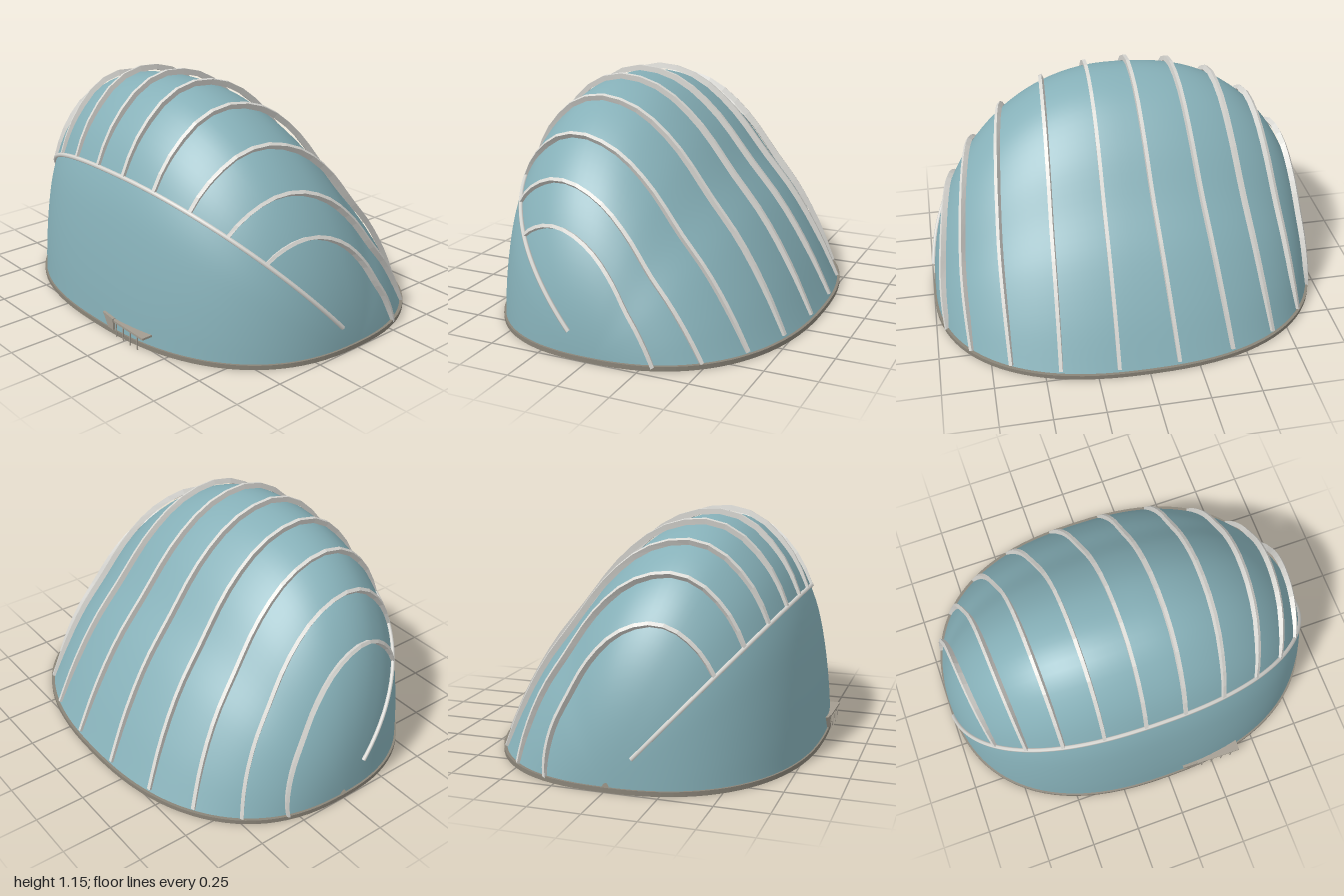
import * as THREE from 'three';

const mat = (name, color, side = THREE.FrontSide) => {
  const m = new THREE.MeshStandardMaterial({ color, side });
  m.name = name;
  return m;
};

// Middle section of the dome, from the front foot over the crest to the back foot
const profile = new THREE.CatmullRomCurve3([
  [0.785, 0.01], [0.772, 0.2], [0.745, 0.42], [0.705, 0.62], [0.66, 0.75], [0.59, 0.89],
  [0.5, 1.0], [0.39, 1.085], [0.26, 1.12], [0.12, 1.1], [0, 1.045], [-0.16, 0.91],
  [-0.34, 0.69], [-0.5, 0.5], [-0.65, 0.27], [-0.785, 0.01],
].map(([z, y]) => new THREE.Vector3(0, y, z)));
const HALF = 0.99;

const fall = (q, n) => Math.pow(Math.max(0, 1 - Math.pow(q, n)), 1 / n);

// Point on the dome: the section shrinks towards both ends, fuller on one side
function surf(x, t) {
  const q = Math.min(1, Math.abs(x) / HALF);
  const p = profile.getPointAt(THREE.MathUtils.clamp(t, 0, 1));
  return new THREE.Vector3(x, p.y * fall(q, x < 0 ? 2.5 : 2.0), p.z * fall(q, 2.4));
}

function normalAt(x, t) {
  const e = 0.004;
  const dx = surf(x + e, t).sub(surf(x - e, t));
  const dt = surf(x, Math.min(1, t + e)).sub(surf(x, Math.max(0, t - e)));
  return dx.cross(dt).normalize();
}

// Where the sloping front rim crosses the section at x
function rimT(x) {
  let lo = 0, hi = 0.45;
  for (let i = 0; i < 24; i++) {
    const mid = (lo + hi) / 2, p = surf(x, mid);
    if (p.y - 1.09 * p.z - 0.025 < 0) lo = mid; else hi = mid;
  }
  return lo;
}

function gridGeometry(positions, rows, cols) {
  const index = [];
  for (let i = 0; i < rows - 1; i++) {
    for (let j = 0; j < cols - 1; j++) {
      const a = i * cols + j, b = a + cols;
      index.push(a, b, a + 1, b, b + 1, a + 1);
    }
  }
  const g = new THREE.BufferGeometry();
  g.setAttribute('position', new THREE.Float32BufferAttribute(positions, 3));
  g.setIndex(index);
  g.computeVertexNormals();
  return g;
}

function domeGeometry() {
  const rows = 65, cols = 61, pos = [];
  for (let i = 0; i < rows; i++) {
    const x = -HALF * 0.9999 * Math.cos((Math.PI * i) / (rows - 1));
    for (let j = 0; j < cols; j++) pos.push(...surf(x, j / (cols - 1)).toArray());
  }
  return gridGeometry(pos, rows, cols);
}

// Rectangular bar swept over the dome from the front rim to the back foot
function ribGeometry(xFront, xBack, bulge) {
  const steps = 22, w = 0.009, pos = [], index = [];
  const t0 = rimT(xFront);
  for (let i = 0; i <= steps; i++) {
    const s = i / steps, arch = Math.sin(Math.PI * s);
    const x = THREE.MathUtils.lerp(xFront, xBack, s) + bulge * arch;
    const t = THREE.MathUtils.lerp(t0, 0.99, s);
    const p = surf(x, t), n = normalAt(x, t);
    const side = new THREE.Vector3(1, 0, 0).addScaledVector(n, -n.x).normalize();
    const low = -0.008 + 0.02 * arch, high = 0.014 + 0.027 * arch;
    for (const [a, h] of [[-w, low], [w, low], [w, high], [-w, high]]) {
      pos.push(...p.clone().addScaledVector(side, a).addScaledVector(n, h).toArray());
    }
  }
  for (let i = 0; i < steps; i++) {
    for (let k = 0; k < 4; k++) {
      const a = i * 4 + k, b = i * 4 + ((k + 1) % 4);
      index.push(a, b, a + 4, b, b + 4, a + 4);
    }
  }
  const e = steps * 4;
  index.push(0, 2, 1, 0, 3, 2, e, e + 1, e + 2, e, e + 2, e + 3);
  const g = new THREE.BufferGeometry();
  g.setAttribute('position', new THREE.Float32BufferAttribute(pos, 3));
  g.setIndex(index);
  const flat = g.toNonIndexed();
  flat.computeVertexNormals();
  return flat;
}

export function createModel() {
  const model = new THREE.Group();
  const glass = mat('blue glass', 0x86b0b8);
  const white = mat('white steel', 0xd9d8d3, THREE.DoubleSide);
  const stone = mat('grey stone', 0x8a8478);
  const canopyMat = mat('canopy grey', 0xa39c90, THREE.DoubleSide);

  const add = (name, geometry, material, parent = model) => {
    const m = new THREE.Mesh(geometry, material);
    m.name = name;
    parent.add(m);
    return m;
  };

  add('dome', domeGeometry(), glass);

  // Oval base plate with a thin visible edge
  const outline = [];
  for (let i = 0; i < 96; i++) {
    const a = (i / 96) * Math.PI * 2, c = Math.cos(a), s = Math.sin(a), k = 2 / 2.4;
    outline.push(new THREE.Vector2(Math.sign(c) * Math.abs(c) ** k, 0.793 * Math.sign(s) * Math.abs(s) ** k));
  }
  const base = new THREE.ExtrudeGeometry(new THREE.Shape(outline), { depth: 0.022, bevelEnabled: false });
  base.rotateX(-Math.PI / 2);
  add('basePlate', base, stone);

  // Sloping rim across the front
  const rimPoints = [];
  for (let i = 0; i <= 40; i++) {
    const x = -0.982 * Math.cos((Math.PI * i) / 40), t = rimT(x);
    rimPoints.push(surf(x, t).addScaledVector(normalAt(x, t), 0.006));
  }
  add('frontRim', new THREE.TubeGeometry(new THREE.CatmullRomCurve3(rimPoints), 80, 0.011, 6), white);

  // Ribs fanning out towards the back
  const front = [0.81, 0.67, 0.5, 0.305, 0.1], back = [0.945, 0.835, 0.655, 0.425, 0.148];
  const bulgeLeft = [0.03, 0.05, 0.045, 0.015, 0.015], bulgeRight = [0.01, 0.04, 0.05, 0.05, 0.04];
  const ribs = new THREE.Group();
  ribs.name = 'ribs';
  model.add(ribs);
  front.forEach((f, i) => {
    add('ribLeft', ribGeometry(f, back[i], bulgeLeft[i]), white, ribs);
    add('ribRight', ribGeometry(-f, -back[i], bulgeRight[i]), white, ribs);
  });

  // Entrance canopy: flat roof, side wedge and thin posts
  const entrance = new THREE.Group();
  entrance.name = 'entrance';
  model.add(entrance);
  const roof = new THREE.Shape([[0.12, -0.765], [0.17, -0.793], [0.4, -0.797], [0.4, -0.7], [0.12, -0.7]]
    .map(([x, y]) => new THREE.Vector2(x, y)));
  const roofGeo = new THREE.ExtrudeGeometry(roof, { depth: 0.01, bevelEnabled: false });
  roofGeo.rotateX(-Math.PI / 2).translate(0, 0.067, 0);
  add('canopyRoof', roofGeo, canopyMat, entrance);
  const wedge = new THREE.Shape([[0.08, 0.09], [0.12, 0.025], [0.16, 0.022], [0.16, 0.08]]
    .map(([x, y]) => new THREE.Vector2(x, y)));
  const wedgeGeo = new THREE.ExtrudeGeometry(wedge, { depth: 0.02, bevelEnabled: false });
  add('canopyWedge', wedgeGeo.translate(0, 0, 0.772), canopyMat, entrance);
  for (const x of [0.19, 0.245, 0.3, 0.355]) {
    add('canopyPost', new THREE.BoxGeometry(0.005, 0.068, 0.005).translate(x, 0.034, 0.793), canopyMat, entrance);
  }
  return model;
}
